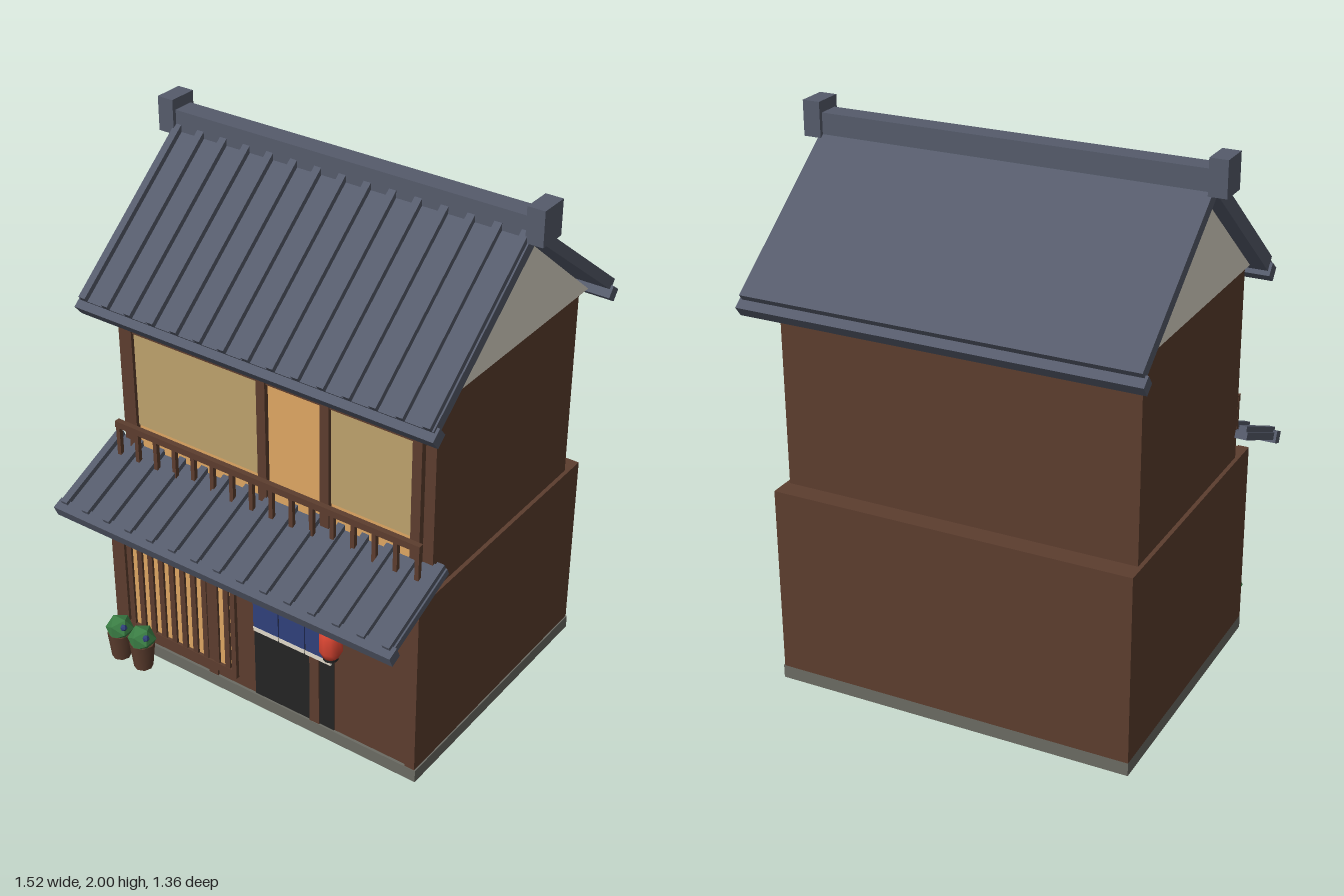
import * as THREE from 'three';

const mat = (name, color, extra = {}) => {
  const m = new THREE.MeshStandardMaterial({ color, ...extra });
  m.name = name;
  return m;
};

export function createModel() {
  const wood = mat('dark wood', 0x5c3d2e);
  const plaster = mat('cream plaster', 0xe0d9ca);
  const tile = mat('slate roof tile', 0x555b6b);
  const amber = mat('warm window', 0xdea662);
  const blind = mat('straw blind', 0xbca16c);
  const black = mat('black', 0x242424);
  const navy = mat('navy cloth', 0x30407a);
  const red = mat('red paper', 0xd94532);
  const green = mat('leaf green', 0x3a7d44, { flatShading: true });
  const stone = mat('grey stone', 0x6b6b63);

  const house = new THREE.Group();
  house.name = 'townhouse';

  const add = (name, geo, material, parent = house) => {
    const m = new THREE.Mesh(geo, material);
    m.name = name;
    parent.add(m);
    return m;
  };
  // Box given by its minimum and maximum on each axis
  const box = (name, material, [x0, x1], [y0, y1], [z0, z1], parent = house) => {
    const m = add(name, new THREE.BoxGeometry(x1 - x0, y1 - y0, z1 - z0), material, parent);
    m.position.set((x0 + x1) / 2, (y0 + y1) / 2, (z0 + z1) / 2);
    return m;
  };

  // Main volumes
  box('foundation', stone, [-0.67, 0.67], [0, 0.05], [-0.6, 0.445]);
  box('groundFloor', wood, [-0.67, 0.665], [0.05, 0.75], [-0.6, 0.435]);
  box('upperFloor', wood, [-0.655, 0.65], [0.75, 1.46], [-0.525, 0.345]);

  // Gable end plates
  const tri = new THREE.Shape([[0.395, 1.46], [-0.1, 1.865], [-0.59, 1.46]].map(p => new THREE.Vector2(...p)));
  for (const x of [-0.635, 0.65]) {
    const geo = new THREE.ExtrudeGeometry(tri, { depth: 0.02, bevelEnabled: false });
    geo.rotateY(-Math.PI / 2);
    add('gable', geo, plaster).position.x = x;
  }

  // Sloping roof slab: underside runs from (z0, y0) down to (z1, y1)
  const roof = (name, [z0, y0], [z1, y1], half, thick, ribs, trim) => {
    const g = new THREE.Group();
    g.name = name;
    const run = Math.abs(z1 - z0), length = Math.hypot(run, y0 - y1);
    g.position.set(0, y0, z0);
    g.rotation.order = 'YXZ';
    g.rotation.set(Math.atan2(y0 - y1, run), z1 < z0 ? Math.PI : 0, 0);
    house.add(g);
    box('roofSlab', tile, [-half, half], [0, thick], [0, length], g);
    const span = half - 0.02;
    for (let i = 0; i < ribs; i++) {
      const x = -span + (2 * span * i) / (ribs - 1);
      box('tileRib', tile, [x - 0.014, x + 0.014], [thick, thick + 0.02], [0, length], g);
    }
    const { size, dy, dz } = trim, s = size / 2;
    box('eaveTrim', tile, [-half - 0.01, half + 0.01], [dy - s, dy + s], [length + dz - s, length + dz + s], g);
  };
  roof('frontRoof', [-0.1, 1.865], [0.44, 1.425], 0.71, 0.04, 15, { size: 0.05, dy: 0.007, dz: 0.005 });
  roof('backRoof', [-0.1, 1.865], [-0.64, 1.452], 0.71, 0.04, 0, { size: 0.045, dy: -0.008, dz: 0.012 });
  roof('porchRoof', [0.325, 0.835], [0.64, 0.7], 0.7, 0.028, 15, { size: 0.045, dy: 0.012, dz: 0.005 });

  // Ridge with end caps
  box('ridge', tile, [-0.7, 0.7], [1.87, 1.96], [-0.14, -0.06]);
  for (const s of [-1, 1]) {
    const cap = box('ridgeCap', tile, [-0.032, 0.032], [1.875, 2], [-0.155, -0.045]);
    cap.position.x = s * 0.73;
  }

  // Upper windows, blinds and posts
  box('upperWindow', amber, [-0.6, 0.6], [0.8, 1.315], [0.344, 0.349]);
  box('wideBlind', blind, [-0.58, -0.045], [0.945, 1.315], [0.348, 0.354]);
  box('narrowBlind', blind, [0.25, 0.575], [0.945, 1.315], [0.348, 0.354]);
  box('upperLintel', wood, [-0.615, 0.61], [1.315, 1.345], [0.34, 0.36]);
  for (const x of [-0.597, -0.025, 0.233, 0.592]) {
    box('upperPost', wood, [x - 0.018, x + 0.018], [0.8, 1.345], [0.34, 0.367]);
  }

  // Balcony railing
  box('handrail', wood, [-0.64, 0.64], [0.942, 0.967], [0.392, 0.413]);
  for (let i = 0; i < 16; i++) {
    const x = -0.63 + i * 0.084;
    box('baluster', wood, [x - 0.008, x + 0.008], [0.8, 0.945], [0.395, 0.411]);
  }

  // Ground floor pillars
  for (const x of [-0.65, -0.21, 0.243, 0.645]) {
    box('pillar', wood, [x - 0.02, x + 0.02], [0.05, 0.75], [0.42, 0.443]);
  }

  // Lattice window
  box('latticeGlow', amber, [-0.605, -0.11], [0.11, 0.62], [0.434, 0.438]);
  for (const [y0, y1] of [[0.083, 0.115], [0.615, 0.642]]) {
    box('latticeRail', wood, [-0.625, -0.1], [y0, y1], [0.43, 0.45]);
  }
  for (const x of [-0.615, -0.108]) {
    box('latticeStile', wood, [x - 0.01, x + 0.01], [0.083, 0.642], [0.43, 0.45]);
  }
  for (let i = 0; i < 10; i++) {
    const x = -0.585 + i * 0.0495;
    box('latticeBar', wood, [x - 0.011, x + 0.011], [0.1, 0.63], [0.434, 0.448]);
  }

  // Doorway and split curtain
  box('doorway', black, [-0.02, 0.325], [0.05, 0.61], [0.432, 0.438]);
  for (let i = 0; i < 3; i++) {
    const x = -0.015 + i * 0.113;
    box('curtain', navy, [x, x + 0.108], [0.365, 0.617], [0.443, 0.449]);
    box('curtainHem', plaster, [x, x + 0.108], [0.347, 0.365], [0.443, 0.45]);
  }

  // Lantern on its bracket
  box('lanternBracket', wood, [0.362, 0.378], [0.62, 0.635], [0.43, 0.53]);
  const lantern = new THREE.Group();
  lantern.name = 'lantern';
  lantern.position.set(0.37, 0.525, 0.52);
  house.add(lantern);
  const profile = [[0, -0.062], [0.028, -0.06], [0.042, -0.03], [0.042, 0.03], [0.028, 0.06], [0, 0.062]];
  add('lanternPaper', new THREE.LatheGeometry(profile.map(p => new THREE.Vector2(...p)), 10), red, lantern);
  for (const y of [-0.062, 0.064]) {
    add('lanternCap', new THREE.CylinderGeometry(0.027, 0.027, 0.018, 10), black, lantern).position.y = y;
  }
  add('lanternCord', new THREE.CylinderGeometry(0.004, 0.004, 0.04, 6), black, lantern).position.y = 0.088;

  // Potted plants
  for (const x of [-0.597, -0.49]) {
    const plant = new THREE.Group();
    plant.name = 'pottedPlant';
    plant.position.set(x, 0, 0.512);
    house.add(plant);
    add('pot', new THREE.CylinderGeometry(0.048, 0.036, 0.11, 8), wood, plant).position.y = 0.055;
    add('foliage', new THREE.IcosahedronGeometry(0.054, 0), green, plant).position.y = 0.127;
    add('blossom', new THREE.IcosahedronGeometry(0.014, 0), navy, plant).position.set(0.033, 0.15, 0.015);
  }
  return house;
}
